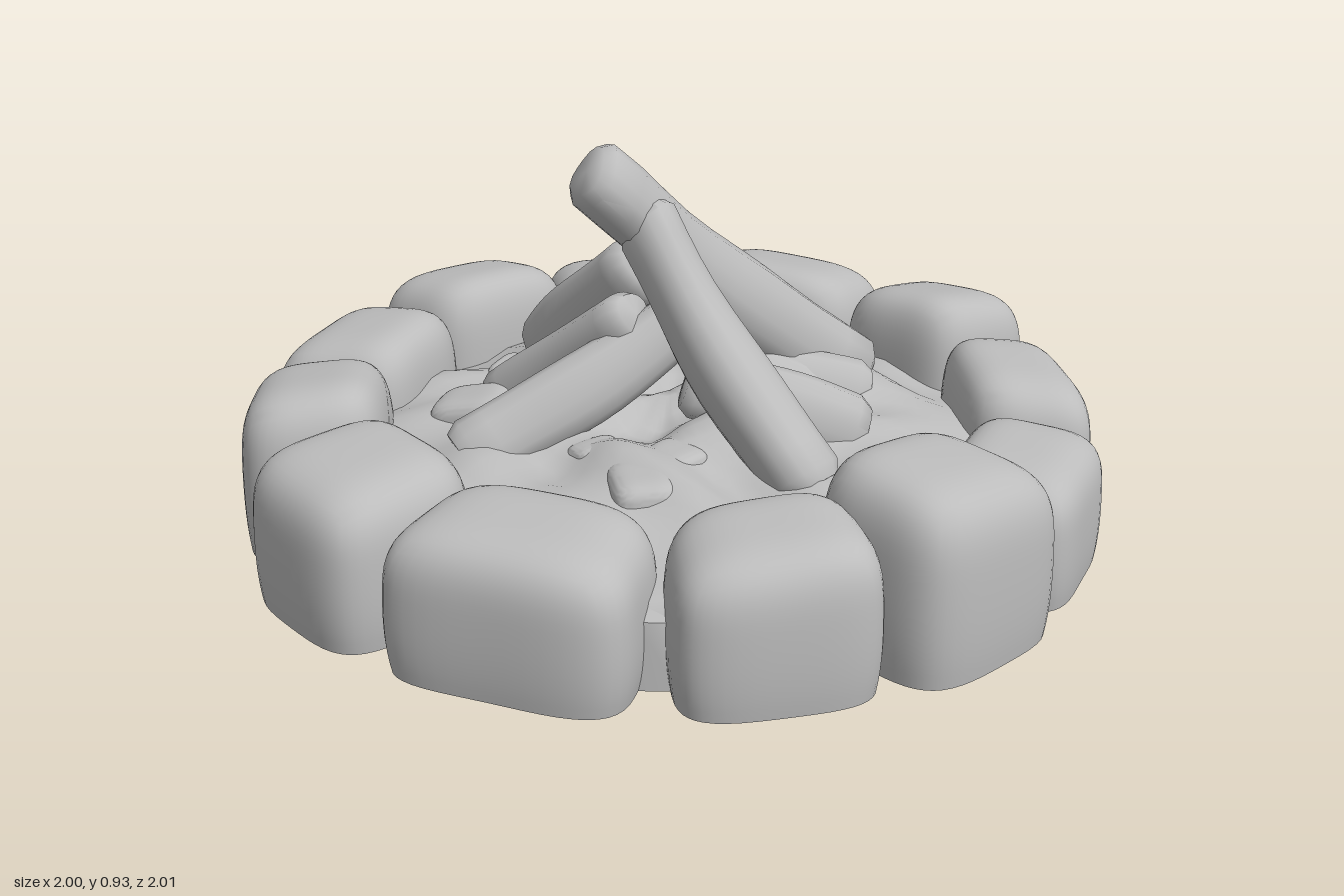
import * as THREE from 'three';
import { mergeVertices, toCreasedNormals } from 'three/addons/utils/BufferGeometryUtils.js';

const grey = new THREE.MeshStandardMaterial({ color: 0xbcbcbc });
grey.name = 'stone grey';

// Moves every vertex by a rule, then rebuilds smooth normals, keeping the base edges sharp
function reshape(geometry, rule) {
  geometry.deleteAttribute('uv');
  geometry.deleteAttribute('normal');
  const g = mergeVertices(geometry, 1e-4);
  const p = g.attributes.position;
  const v = new THREE.Vector3();
  for (let i = 0; i < p.count; i++) {
    v.fromBufferAttribute(p, i);
    rule(v);
    p.setXYZ(i, v.x, v.y, v.z);
  }
  return toCreasedNormals(g, 1.0);
}

function addMesh(group, name, geometry) {
  const mesh = new THREE.Mesh(geometry, grey);
  mesh.name = name;
  group.add(mesh);
  return mesh;
}

// Irregular block, rounded above and flat below; local z faces outward
function stoneGeometry(w, h, d, seed) {
  const tilt = 0.05 * Math.sin(seed * 2.3);
  const skew = 0.08 * Math.sin(seed * 4.1);
  const n = 3.8;
  return reshape(new THREE.BoxGeometry(2, 2, 2, 14, 14, 14), (v) => {
    const plan = Math.abs(v.x) ** n + Math.abs(v.z) ** n;
    if (v.y > 0) {
      v.divideScalar((plan + v.y ** n) ** (1 / n));
    } else if (plan > 0) {
      const k = Math.max(Math.abs(v.x), Math.abs(v.z)) / plan ** (1 / n);
      v.x *= k;
      v.z *= k;
    }
    const up = (v.y + 1) / 2;
    const lump = 1 + 0.025 * Math.sin(v.x * 2.6 + seed * 3) * Math.cos(v.z * 2.4 + seed);
    const taper = 1 - 0.07 * up * up - 0.06 * (1 - up) ** 5;
    const x = v.x * taper * lump * (1 + 0.06 * v.z) + skew * v.z;
    const z = v.z * taper * lump - skew * v.x * 0.6;
    const y = up * (1 + tilt * v.x - 0.05 * v.z * up);
    v.set(x * w / 2, y * h, z * d / 2);
  });
}

// Blunt, knotty log running from its foot to its tip
function addLog(group, name, foot, tip, r0, r1, seed) {
  const a = new THREE.Vector3(...foot), b = new THREE.Vector3(...tip);
  const dir = b.clone().sub(a), length = dir.length();
  const profile = [new THREE.Vector2(0, 0), new THREE.Vector2(r0 * 0.8, 0)];
  for (let i = 0; i <= 10; i++) {
    const t = i / 10;
    profile.push(new THREE.Vector2(THREE.MathUtils.lerp(r0, r1, t), 0.03 + t * (length - 0.06)));
  }
  profile.push(new THREE.Vector2(r1 * 0.75, length - 0.005), new THREE.Vector2(0, length));
  const g = reshape(new THREE.LatheGeometry(profile, 16), (v) => {
    const angle = Math.atan2(v.z, v.x);
    const k = 1 + 0.08 * Math.cos(3 * angle + seed + v.y * 2) + 0.05 * Math.sin(v.y * 13 + seed * 2);
    const tilt = v.x * 0.25 * Math.sin(seed) * (v.y / length);
    v.set(v.x * k + 0.012 * Math.sin(v.y * 7 + seed), v.y + tilt, v.z * k);
  });
  const log = addMesh(group, name, g);
  log.position.copy(a);
  log.quaternion.setFromUnitVectors(new THREE.Vector3(0, 1, 0), dir.normalize());
}

export function createModel() {
  const model = new THREE.Group();
  model.name = 'campfire';

  // Ring of stones: x, z, width, depth, height
  const ring = new THREE.Group();
  ring.name = 'stoneRing';
  [
    [0.10, -0.815, 0.49, 0.36, 0.40], [0.525, -0.665, 0.42, 0.36, 0.40],
    [0.77, -0.32, 0.45, 0.31, 0.35], [0.835, 0.09, 0.43, 0.32, 0.30],
    [0.695, 0.47, 0.44, 0.38, 0.405], [0.405, 0.73, 0.42, 0.34, 0.34],
    [-0.07, 0.81, 0.53, 0.36, 0.33], [-0.50, 0.64, 0.44, 0.39, 0.355],
    [-0.76, 0.30, 0.45, 0.34, 0.38], [-0.805, -0.09, 0.43, 0.37, 0.37],
    [-0.67, -0.48, 0.44, 0.36, 0.41], [-0.335, -0.73, 0.43, 0.35, 0.375],
  ].forEach(([x, z, w, d, h], i) => {
    const stone = addMesh(ring, 'stone', stoneGeometry(w, h, d, i + 1));
    stone.position.set(x, 0, z);
    stone.rotation.y = Math.atan2(x, z);
  });
  model.add(ring);

  // Bumpy ash bed with a closed flat base, heaped under the low logs
  const bed = [new THREE.Vector2(0, 0)];
  for (let i = 1; i <= 6; i++) bed.push(new THREE.Vector2(0.87 * i / 6, 0));
  bed.push(new THREE.Vector2(0.87, 0.15));
  for (let i = 20; i >= 0; i--) {
    const t = i / 20;
    bed.push(new THREE.Vector2(0.83 * t, 0.18 + 0.12 * (1 - t * t)));
  }
  addMesh(model, 'ashBed', reshape(new THREE.LatheGeometry(bed, 64), (v) => {
    const r = Math.hypot(v.x, v.z);
    if (v.y < 0.16) return;
    const a = Math.atan2(v.z, v.x);
    v.y += Math.max(0, 1 - r / 0.8) * 0.07 * Math.sin(v.x * 15 + 2 * Math.sin(v.z * 7)) * Math.cos(v.z * 13 + 1)
      + 0.015 * r * Math.sin(a * 12)
      + 0.06 * Math.exp(-((v.x - 0.28) ** 2 + (v.z + 0.17) ** 2) / 0.04);
  }));

  // Leaning logs: foot, tip, foot radius, tip radius
  const logs = new THREE.Group();
  logs.name = 'logs';
  addLog(logs, 'tallLog', [0.34, 0.24, -0.36], [-0.13, 0.875, 0.235], 0.105, 0.075, 1);
  addLog(logs, 'frontLeftLog', [0.39, 0.22, 0.31], [-0.03, 0.76, 0.13], 0.09, 0.075, 2);
  addLog(logs, 'backRightLog', [-0.41, 0.26, -0.31], [-0.07, 0.6, -0.06], 0.085, 0.085, 3);
  addLog(logs, 'sideLog', [-0.41, 0.22, -0.01], [-0.05, 0.54, 0.13], 0.075, 0.065, 4);
  addLog(logs, 'frontRightLog', [-0.37, 0.22, 0.36], [0.06, 0.52, 0.03], 0.085, 0.075, 5);
  addLog(logs, 'lowLog', [0.46, 0.24, 0.0], [0.06, 0.36, 0.1], 0.09, 0.08, 6);
  addLog(logs, 'lowBackLog', [0.42, 0.24, -0.22], [0.02, 0.36, -0.08], 0.08, 0.07, 7);
  model.add(logs);

  // Small coals half sunk in the ash: x, z, size
  const coals = new THREE.Group();
  coals.name = 'coals';
  [
    [-0.44, 0.11, 0.10], [-0.46, -0.2, 0.07], [0.1, 0.3, 0.07], [-0.08, 0.3, 0.06],
    [0.06, 0.45, 0.09], [0.0, -0.32, 0.09], [0.2, -0.4, 0.07], [-0.2, 0.05, 0.10],
  ].forEach(([x, z, s], i) => {
    const coal = addMesh(coals, 'coal', stoneGeometry(s * 2, s * 1.1, s * 1.6, i + 20));
    coal.position.set(x, 0.28 - 0.14 * Math.hypot(x, z) - s * 0.3, z);
    coal.rotation.set(0.15 * Math.sin(i), i * 1.3, 0.15 * Math.cos(i));
  });
  model.add(coals);

  return model;
}
